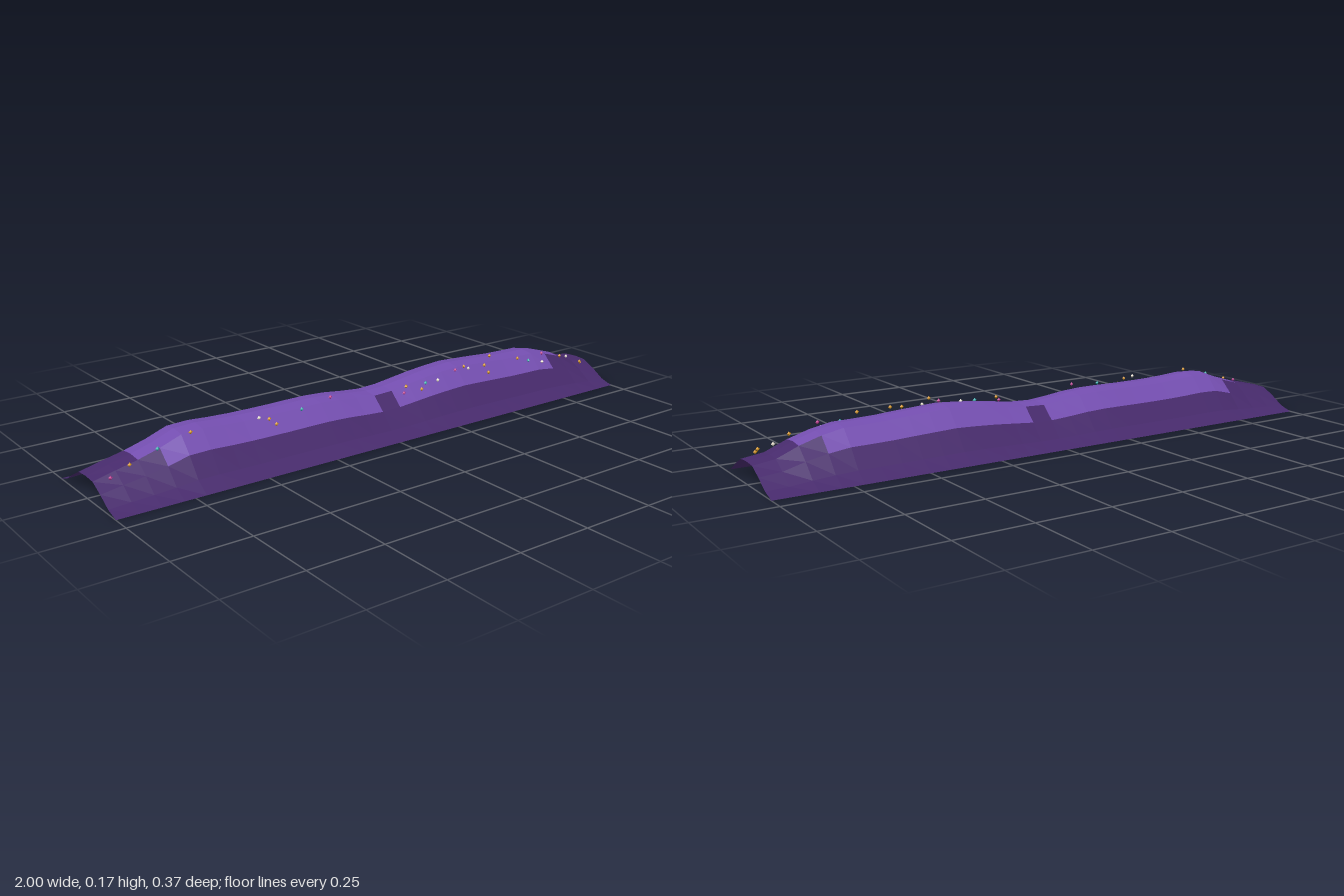
import * as THREE from 'three';

const STEP = 1 / 14; // length of one ridge segment
const WIDTH = [-0.187, -0.14, -0.0935, -0.0467, 0, 0.0467, 0.0935, 0.14, 0.187];
const RISE = [0, 0.21, 0.62, 0.96, 1, 0.96, 0.62, 0.21, 0];
// crest height at each of the 29 cross-sections
const CREST = [
  0.07, 0.088, 0.104, 0.125, 0.152, 0.155, 0.15, 0.147, 0.146, 0.146,
  0.147, 0.147, 0.143, 0.134, 0.127, 0.13, 0.14, 0.15, 0.157, 0.162,
  0.158, 0.154, 0.149, 0.147, 0.146, 0.132, 0.11, 0.08, 0.07,
];

const point = (i, j) => [-1 + i * STEP, CREST[i] * RISE[j], WIDTH[j]];

// True for the paler cells: the crest strip and two long panels on each slope
function isPale(i, j) {
  if (j === 3 || j === 4) return i >= 2 && i < 26;
  if (j === 2 || j === 5) return i >= 3 && i < 25 && i !== 14;
  return false;
}

// Sheet made of the cells that pass the test
function sheet(name, material, test) {
  const positions = [];
  for (let i = 0; i < CREST.length - 1; i++) {
    for (let j = 0; j < WIDTH.length - 1; j++) {
      if (!test(i, j)) continue;
      const a = point(i, j), b = point(i, j + 1);
      const c = point(i + 1, j + 1), d = point(i + 1, j);
      positions.push(...a, ...b, ...c, ...a, ...c, ...d);
    }
  }
  const geometry = new THREE.BufferGeometry();
  geometry.setAttribute('position', new THREE.Float32BufferAttribute(positions, 3));
  geometry.computeVertexNormals();
  const mesh = new THREE.Mesh(geometry, material);
  mesh.name = name;
  return mesh;
}

function makeMaterial(name, color) {
  const material = new THREE.MeshStandardMaterial({ color });
  material.name = name;
  return material;
}

export function createModel() {
  const model = new THREE.Group();
  model.name = 'ridge';

  const dark = makeMaterial('dark purple', 0x472a6c);
  const pale = makeMaterial('pale purple', 0x744eb0);
  dark.side = pale.side = THREE.DoubleSide;
  dark.flatShading = pale.flatShading = true;

  // Arched sheet
  model.add(sheet('slopes', dark, (i, j) => !isPale(i, j)));
  model.add(sheet('palePanels', pale, isPale));

  // Small gems scattered along the front slope: x, y, z, colour
  const gemColors = {
    amber: makeMaterial('amber', 0xd0900f),
    teal: makeMaterial('teal', 0x2aa8a8),
    magenta: makeMaterial('magenta', 0xb8308c),
    cream: makeMaterial('cream', 0xe0d8c8),
  };
  const gems = [
    [-0.96, 0.08, 0.08, 'magenta'], [-0.89, 0.097, 0.06, 'amber'],
    [-0.8, 0.125, 0.06, 'teal'], [-0.69, 0.152, 0.06, 'amber'],
    [-0.46, 0.15, 0.07, 'cream'], [-0.43, 0.143, 0.08, 'amber'],
    [-0.41, 0.125, 0.09, 'amber'], [-0.3, 0.143, 0.065, 'teal'],
    [-0.18, 0.155, 0.05, 'magenta'], [0.09, 0.125, 0.09, 'magenta'],
    [0.11, 0.14, 0.075, 'amber'], [0.17, 0.122, 0.085, 'amber'],
    [0.19, 0.138, 0.08, 'teal'], [0.24, 0.14, 0.085, 'cream'],
    [0.33, 0.155, 0.07, 'magenta'], [0.36, 0.165, 0.08, 'amber'],
    [0.39, 0.15, 0.07, 'cream'], [0.46, 0.15, 0.075, 'amber'],
    [0.47, 0.125, 0.088, 'amber'], [0.52, 0.164, 0.035, 'amber'],
    [0.61, 0.15, 0.085, 'amber'], [0.67, 0.13, 0.08, 'teal'],
    [0.73, 0.117, 0.09, 'cream'], [0.75, 0.14, 0.065, 'magenta'],
    [0.84, 0.115, 0.07, 'amber'], [0.9, 0.097, 0.046, 'cream'],
    [0.935, 0.079, 0.082, 'amber'], [0.945, 0.073, 0.076, 'amber'],
  ];
  const gemShape = new THREE.OctahedronGeometry(0.007);
  const gemGroup = new THREE.Group();
  gemGroup.name = 'gems';
  for (const [x, y, z, color] of gems) {
    const gem = new THREE.Mesh(gemShape, gemColors[color]);
    gem.name = 'gem';
    gem.position.set(x, y, z);
    gemGroup.add(gem);
  }
  model.add(gemGroup);
  return model;
}
